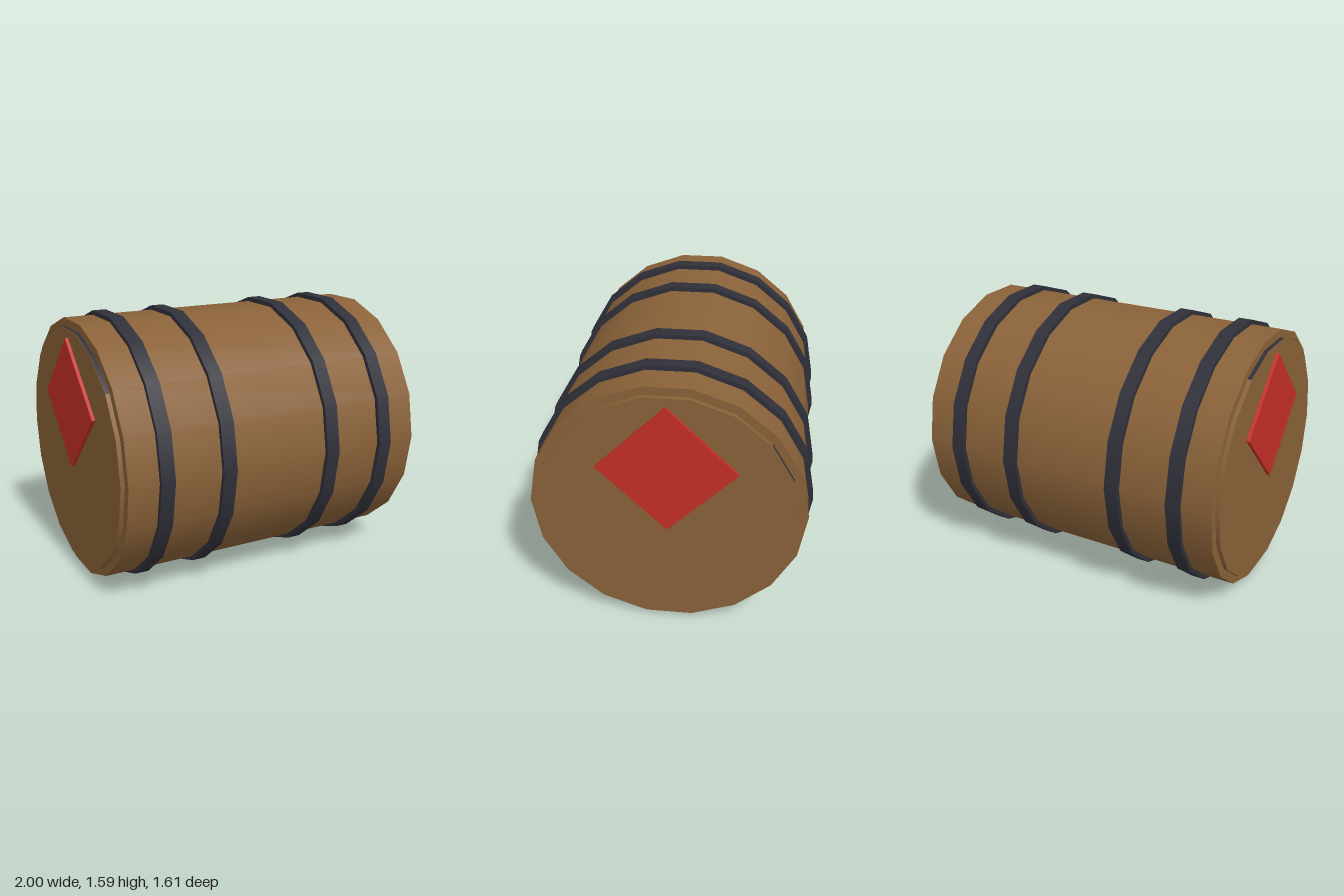
import * as THREE from 'three';

const SIDES = 18;
const CENTER_Y = 0.795;
const rad = THREE.MathUtils.degToRad;

function material(name, color, side = THREE.FrontSide) {
  const m = new THREE.MeshStandardMaterial({ color, side });
  m.name = name;
  return m;
}

export function createModel() {
  const wood = material('wood', 0x8a6239);
  const iron = material('iron', 0x30303a, THREE.DoubleSide);
  const red = material('red paint', 0xc42f26);

  const model = new THREE.Group();
  model.name = 'barrel';

  function add(name, geometry, mat, x, y = CENTER_Y) {
    const mesh = new THREE.Mesh(geometry, mat);
    mesh.name = name;
    mesh.position.set(x, y, 0);
    model.add(mesh);
  }

  // Cylinder lying along x; angles run from +z up towards +y
  function drum(radius, length) {
    return new THREE.CylinderGeometry(radius, radius, length, SIDES).rotateZ(Math.PI / 2);
  }
  function arc(radius, length, from, to) {
    return new THREE.CylinderGeometry(radius, radius, length, Math.round((to - from) / 20), 1, true,
      rad(from), rad(to - from)).rotateZ(Math.PI / 2);
  }

  // Staved body
  add('body', drum(0.781, 1.91), wood, 0);

  // Iron hoops
  for (const x of [-0.732, -0.35, 0.345, 0.728]) add('hoop', drum(0.807, 0.084), iron, x);

  // Raised heads with a painted diamond on each end
  for (const side of [-1, 1]) {
    add('head', drum(0.731, 0.04), wood, side * 0.96);
    const diamond = new THREE.BoxGeometry(0.026, 0.555, 0.555).rotateX(Math.PI / 4);
    add('diamond', diamond, red, side * 0.987, 1.075);
  }

  // Exposed iron along the head edges
  add('headEdge', arc(0.733, 0.024, 40, 120), iron, -0.967);
  add('headEdge', arc(0.733, 0.024, 140, 160), iron, 0.967);

  return model;
}
